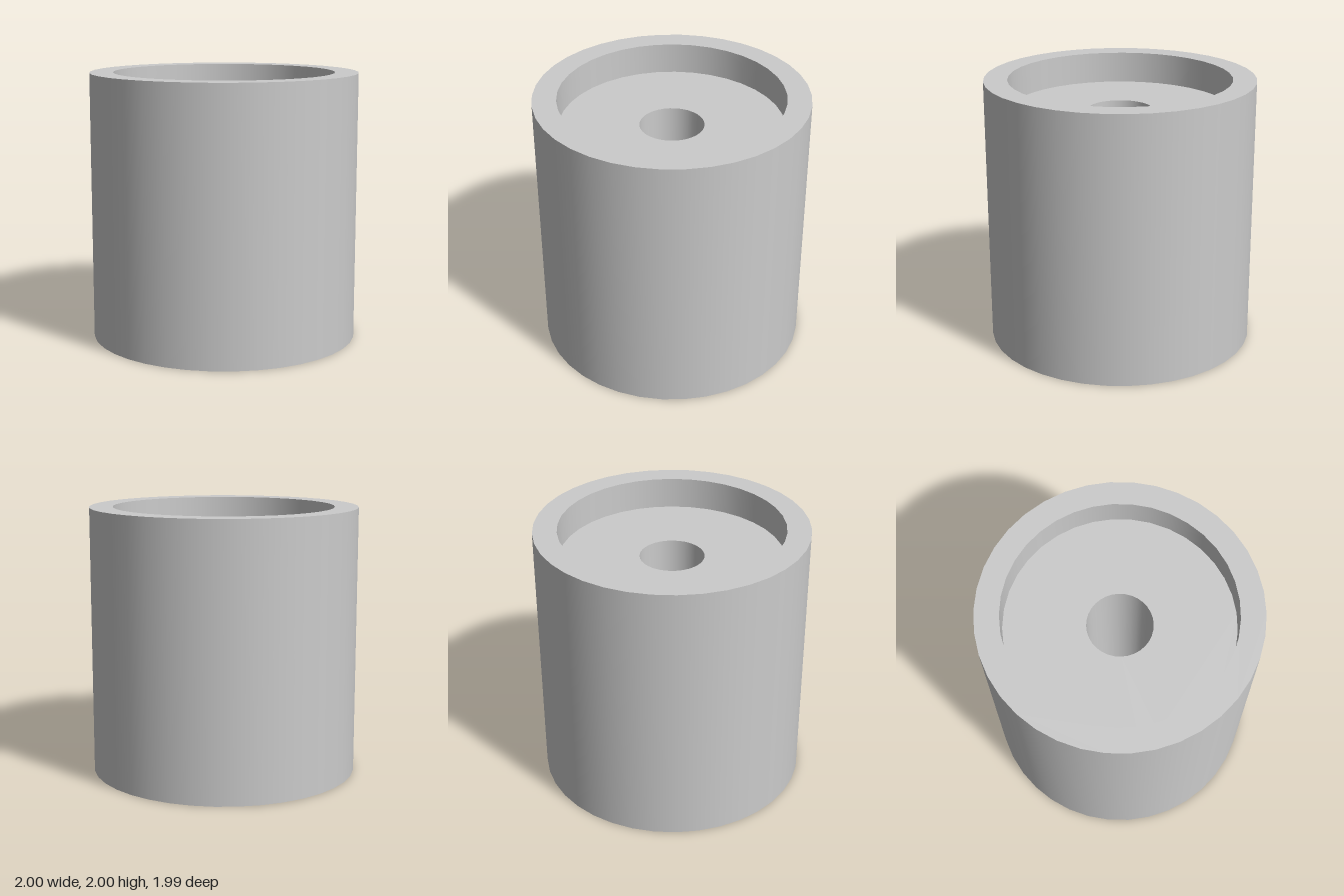
import * as THREE from 'three';

const HEIGHT = 2, RECESS = 0.235;
// Radius and number of sides of the three concentric circles
const OUTER = { r: 1, n: 38 };
const POCKET = { r: 0.825, n: 37 };
const BORE = { r: 0.237, n: 32 };

const material = new THREE.MeshStandardMaterial({ color: 0xcccccc });

function circlePoints({ r, n }) {
  return Array.from({ length: n }, (_, i) => {
    const a = (i / n) * Math.PI * 2;
    return new THREE.Vector2(r * Math.cos(a), r * Math.sin(a));
  });
}

// Smooth round wall: faces outward when running up, inward when running down
function wall(name, { r, n }, yStart, yEnd) {
  const profile = [new THREE.Vector2(r, yStart), new THREE.Vector2(r, yEnd)];
  const mesh = new THREE.Mesh(new THREE.LatheGeometry(profile, n, Math.PI / 2), material);
  mesh.name = name;
  return mesh;
}

// Flat ring between two circles, facing up (dir 1) or down (dir -1)
function ring(name, outer, inner, y, dir) {
  const shape = new THREE.Shape(circlePoints(outer));
  shape.holes.push(new THREE.Path(circlePoints(inner)));
  const geometry = new THREE.ShapeGeometry(shape).rotateX(-dir * Math.PI / 2).translate(0, y, 0);
  const mesh = new THREE.Mesh(geometry, material);
  mesh.name = name;
  return mesh;
}

export function createModel() {
  const group = new THREE.Group();
  group.name = 'recessedRoller';
  const low = RECESS, high = HEIGHT - RECESS;

  // Outside and through bore
  group.add(wall('outerWall', OUTER, 0, HEIGHT));
  group.add(wall('boreWall', BORE, high, low));

  // Top rim and pocket
  group.add(ring('topRim', OUTER, POCKET, HEIGHT, 1));
  group.add(wall('topPocketWall', POCKET, HEIGHT, high));
  group.add(ring('topPocketFloor', POCKET, BORE, high, 1));

  // Bottom rim and pocket
  group.add(ring('bottomRim', OUTER, POCKET, 0, -1));
  group.add(wall('bottomPocketWall', POCKET, low, 0));
  group.add(ring('bottomPocketFloor', POCKET, BORE, low, -1));

  return group;
}
